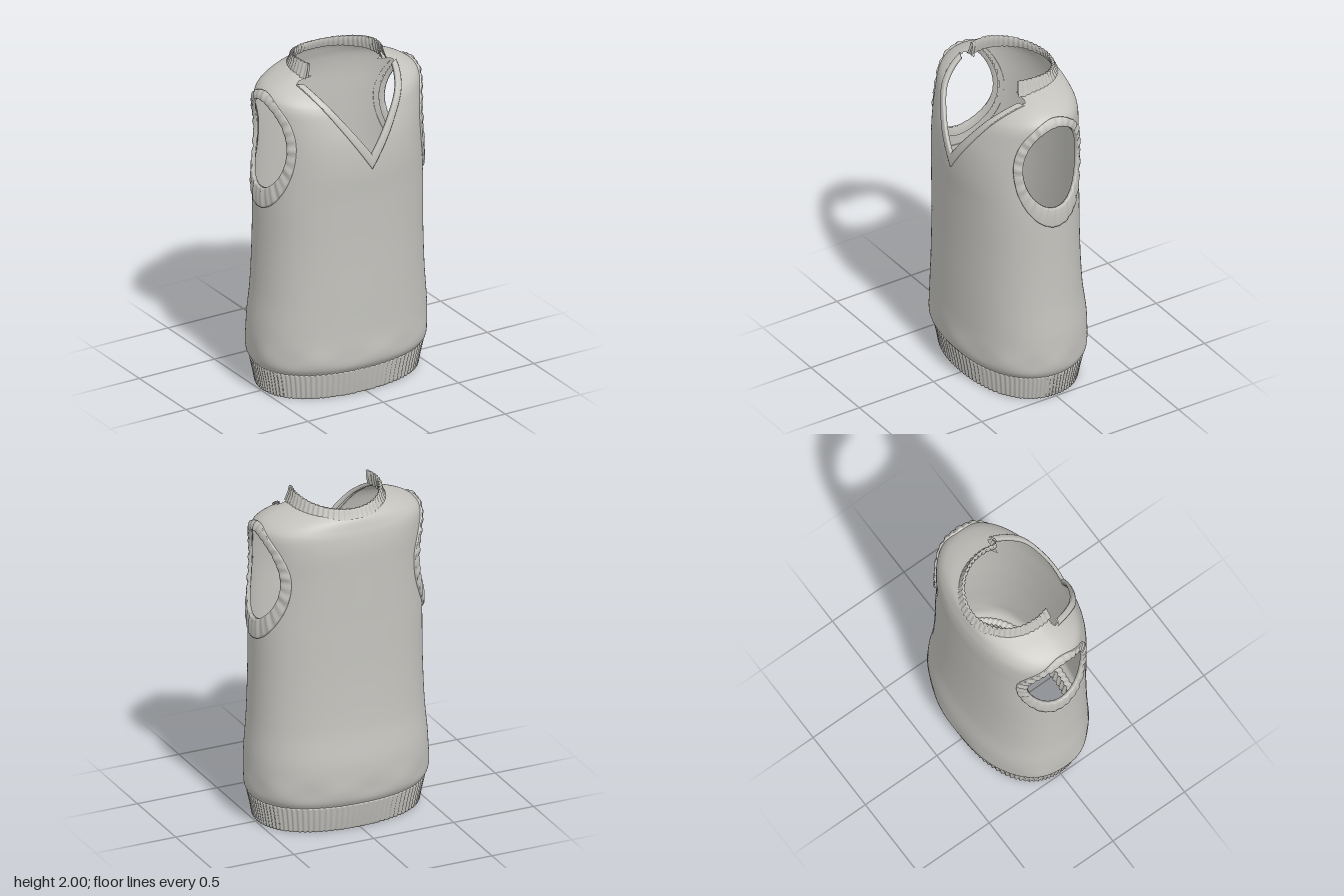
import * as THREE from 'three';

const V3 = THREE.Vector3;
const wool = new THREE.MeshStandardMaterial({ color: 0xc4c3be, side: THREE.DoubleSide });
wool.name = 'greyWool';

// Body levels: side x, side y, front z, front y, back z, back y
const LEVELS = [
  [0.515, 0.15, 0.338, 0.15, 0.345, 0.15],
  [0.543, 0.22, 0.370, 0.22, 0.372, 0.22],
  [0.542, 0.40, 0.366, 0.40, 0.374, 0.40],
  [0.525, 0.62, 0.366, 0.62, 0.345, 0.62],
  [0.515, 0.90, 0.366, 0.90, 0.330, 0.90],
  [0.512, 1.20, 0.372, 1.20, 0.325, 1.20],
  [0.500, 1.40, 0.380, 1.40, 0.325, 1.40],
  [0.497, 1.56, 0.370, 1.56, 0.325, 1.56],
  [0.502, 1.70, 0.342, 1.68, 0.325, 1.70],
  [0.500, 1.80, 0.315, 1.75, 0.315, 1.79],
  [0.465, 1.85, 0.280, 1.80, 0.300, 1.845],
  [0.385, 1.89, 0.210, 1.86, 0.285, 1.885],
  [0.280, 1.925, 0.120, 1.905, 0.265, 1.91],
];
const profile = (k) => new THREE.CatmullRomCurve3(
  LEVELS.map((l) => new V3(l[k], l[k + 1], 0)), false, 'catmullrom', 0.5);
const sideCurve = profile(0), frontCurve = profile(2), backCurve = profile(4);

// Slightly squared oval, angle 0 = +x, quarter turn = +z
function oval(a, w, front, back, y, grow = 0) {
  const k = 1 + 0.035 * Math.sin(2 * a) ** 2;
  const c = Math.cos(a), s = Math.sin(a);
  return new V3((w + grow) * k * c, y, ((s > 0 ? front : back) + grow) * k * s);
}

// Knitted body surface: angle a, height parameter t
function surface(a, t) {
  const s = sideCurve.getPoint(t);
  const f = (Math.sin(a) > 0 ? frontCurve : backCurve).getPoint(t);
  const y = THREE.MathUtils.lerp(s.y, f.y, Math.sin(a) ** 2);
  const fold = 0.004 * Math.sin(9 * a + 1) * Math.exp(-(((y - 0.25) / 0.06) ** 2));
  return oval(a, s.x, f.x, f.x, y, fold);
}

// Body point raised along the outward normal
function raised(a, t, h) {
  const e = 0.004, t0 = Math.min(t, 1 - e);
  const da = surface(a + e, t0).sub(surface(a - e, t0));
  const dt = surface(a, t0 + e).sub(surface(a, t0 - e));
  return surface(a, t).addScaledVector(dt.cross(da).normalize(), h);
}

// Find the (a, t) whose surface point matches y and one other axis
function locate(axis, value, y, a, t, aMin, aMax) {
  const miss = (p, q) => {
    const v = surface(p, q);
    return (v[axis] - value) ** 2 + (v.y - y) ** 2;
  };
  let best = miss(a, t);
  for (let step = 0.1; step > 0.0002;) {
    let moved = false;
    for (const [i, j] of [[1, 0], [-1, 0], [0, 1], [0, -1], [1, 1], [1, -1], [-1, 1], [-1, -1]]) {
      const p = THREE.MathUtils.clamp(a + i * step, aMin, aMax);
      const q = THREE.MathUtils.clamp(t + j * step * 0.5, 0.01, 1);
      const m = miss(p, q);
      if (m < best) { best = m; a = p; t = q; moved = true; }
    }
    if (!moved) step /= 2;
  }
  return [a, t];
}

// Skin a row of sections; keep() decides which cells stay
function loft(sections, closed, keep = () => true) {
  const n = sections[0].length, rows = sections.length, index = [];
  for (let i = 0; i < (closed ? rows : rows - 1); i++) {
    for (let j = 0; j < n - 1; j++) {
      const a = i * n + j, b = ((i + 1) % rows) * n + j;
      const mid = sections[i][j].clone().add(sections[(i + 1) % rows][j + 1]).multiplyScalar(0.5);
      if (keep(mid)) index.push(a, a + 1, b, b, a + 1, b + 1);
    }
  }
  const geo = new THREE.BufferGeometry().setFromPoints(sections.flat());
  geo.setIndex(index);
  geo.computeVertexNormals();
  return geo;
}

const range = (n, fn) => Array.from({ length: n }, (_, i) => fn(i));

// Cells left after cutting the armholes and the V neck
function inCloth(p) {
  const dy = p.y - 1.535;
  const arm = Math.abs(p.x) > 0.3 && (p.z / 0.202) ** 2 + (dy / (dy > 0 ? 0.288 : 0.32)) ** 2 < 1;
  const neck = p.z > 0.085 && p.y > 1.445 + 1.42 * Math.abs(p.x);
  return !arm && !neck;
}

function bodyGeometry() {
  return loft(range(200, (i) => range(151, (j) => surface((i / 200) * Math.PI * 2, j / 150))), true, inCloth);
}

// Ribbed hem
function hemGeometry() {
  const rows = [[0.146, -0.03], [0.162, -0.012], [0.16, 0.002], [0.15, 0.005], [0.08, 0.001],
    [0.012, 0], [0.0, -0.004], [0.0, -0.016], [0.012, -0.02], [0.15, -0.02]];
  return loft(range(480, (i) => {
    const a = (i / 480) * Math.PI * 2;
    const rib = 0.004 * Math.sin(a * 96);
    return rows.map(([y, g]) => {
      const k = y / 0.16;
      return oval(a, 0.492 + 0.026 * k, 0.316 + 0.024 * k, 0.322 + 0.028 * k, y, g + rib);
    }).reverse();
  }), true);
}

// Standing rib around the back of the neck
function collarGeometry() {
  const start = -Math.PI - 0.36, span = Math.PI + 0.72;
  return loft(range(241, (i) => {
    const a = start + (span * i) / 240;
    const back = Math.max(0, -Math.sin(a)) ** 1.3;
    const low = 1.912 - 0.015 * back, high = 2 - 0.048 * back;
    const rib = 0.003 * Math.sin(i * 0.9);
    return [[0.287, 0], [0.283, 0.15], [0.268, 0.6], [0.262, 0.96], [0.256, 1], [0.247, 0.96], [0.25, 0.5], [0.262, 0]]
      .map(([r, k]) => new V3((r + rib) * Math.cos(a), low + (high - low) * k, (r + rib) * Math.sin(a)));
  }), false);
}

// Flat band laid on the body between an outer and an inner edge
function bandSection(outer, inner, h) {
  const at = (k, up) => raised(
    THREE.MathUtils.lerp(outer[0], inner[0], k), THREE.MathUtils.lerp(outer[1], inner[1], k), up);
  return [at(0, -0.004), at(0.03, h * 0.8), at(0.12, h), at(0.5, h * 1.15), at(0.88, h),
    at(1, h * 0.6), at(1, -0.01), at(0.5, -0.01)];
}

function armBandGeometry() {
  return loft(range(144, (i) => {
    const a = (i / 144) * Math.PI * 2, c = Math.cos(a), s = Math.sin(a);
    const edge = (rz, up, down) =>
      locate('z', 0.003 + rz * c, 1.535 + (s > 0 ? up : down) * s, 0.5 * c, 0.6 + 0.15 * s, -1.3, 1.3);
    const pucker = 0.003 * Math.sin(a * 30) + 0.0015 * Math.sin(a * 17 + 1);
    return bandSection(edge(0.228, 0.312, 0.39), edge(0.184, 0.265, 0.265), 0.012 + pucker);
  }), true);
}

// One half of the V neck band, from the point to the shoulder
function neckBandGeometry() {
  return loft(range(41, (i) => {
    const s = i / 40;
    const edge = (x, y) => locate('x', x, y, 1.5 - s, 0.55 + 0.3 * s, 0.2, Math.PI / 2);
    return bandSection(edge(0.33 * s, 1.4 + 0.488 * s), edge(0.29 * s, 1.49 + 0.398 * s), 0.01);
  }), false);
}

export function createModel() {
  const group = new THREE.Group();
  group.name = 'knittedVest';
  const add = (name, geo, mirror = 1) => {
    const mesh = new THREE.Mesh(geo, wool);
    mesh.name = name;
    mesh.scale.x = mirror;
    group.add(mesh);
  };
  add('body', bodyGeometry());
  add('ribbedHem', hemGeometry());
  add('backCollar', collarGeometry());
  const arm = armBandGeometry(), neck = neckBandGeometry();
  for (const [side, m] of [['left', 1], ['right', -1]]) {
    add(side + 'ArmBand', arm, m);
    add(side + 'NeckBand', neck, m);
  }
  return group;
}
